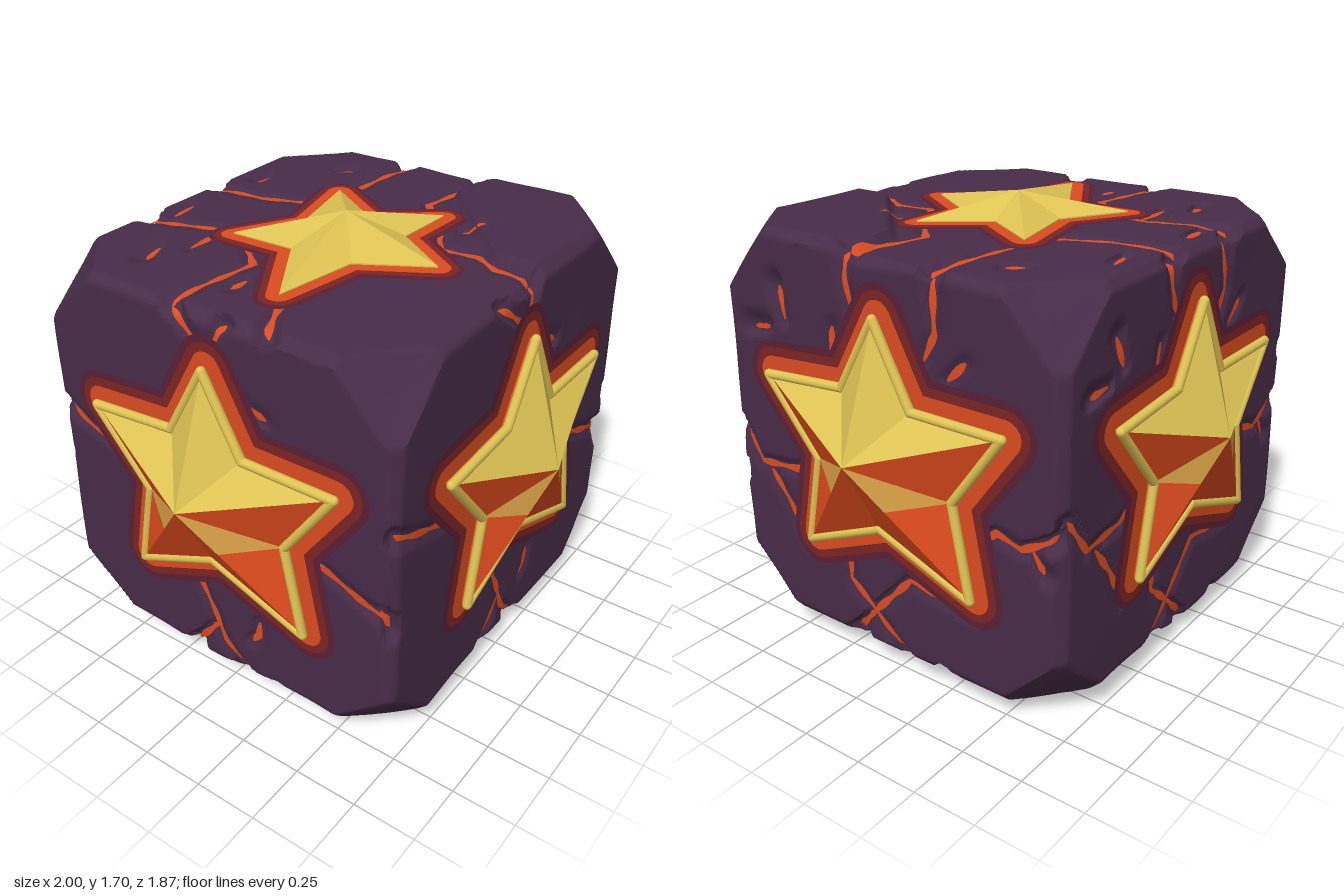
import * as THREE from 'three';
import { mergeGeometries, mergeVertices, toCreasedNormals } from 'three/addons/utils/BufferGeometryUtils.js';

const V3 = (x, y, z) => new THREE.Vector3(x, y, z);
const mat = (name, color, side = THREE.FrontSide) => {
  const m = new THREE.MeshStandardMaterial({ color, side });
  m.name = name;
  return m;
};
const HALF = V3(0.8, 0.765, 0.765), MID = 0.842;

// Outlines, clockwise from the upper tip, relative to the face centre
const SIDE_STAR = [[0.01, 1.41], [0.165, 1.115], [0.545, 1.115], [0.335, 0.83], [0.405, 0.475],
  [0, 0.625], [-0.355, 0.475], [-0.285, 0.825], [-0.52, 1.1], [-0.15, 1.13]].map(([x, y]) => [x, y - MID]);
const TOP_STAR = [[-0.25, 0.33], [0, 0.19], [0.33, 0.27], [0.17, 0.02], [0.34, -0.21],
  [0.09, -0.2], [-0.07, -0.44], [-0.22, -0.18], [-0.56, -0.13], [-0.24, 0.07]];

// Crack paths; side faces use [across, height], the top uses [across, back]
const FRONT_CRACKS = [
  [[-0.17, 1.63], [-0.05, 1.5], [0, 1.42]], [[0.07, 1.63], [0.03, 1.5]], [[0.04, 1.42], [0.11, 1.34], [0.25, 1.29]],
  [[-0.35, 0.88], [-0.6, 0.95], [-0.8, 1.02]], [[0.35, 0.82], [0.5, 0.77], [0.62, 0.72], [0.8, 0.66]],
  [[0.72, 0.7], [0.77, 0.62]], [[-0.12, 0.47], [-0.05, 0.33], [0, 0.2], [0.1, 0.08]],
  [[-0.03, 0.27], [-0.18, 0.08]], [[0.18, 0.38], [0.17, 0.31], [0.14, 0.27]]];
const RIGHT_CRACKS = [
  [[-0.15, 1.63], [-0.15, 1.5], [-0.12, 1.4]], [[0.24, 1.63], [0.25, 1.4], [0.2, 1.3]], [[-0.5, 1.42], [-0.46, 1.3]],
  [[-0.65, 1.25], [-0.55, 1.26]], [[0.3, 1.25], [0.38, 1.33]], [[-0.25, 1.15], [-0.22, 1.32]],
  [[-0.765, 0.85], [-0.65, 0.7], [-0.45, 0.72], [-0.3, 0.8]], [[-0.6, 0.68], [-0.5, 0.55], [-0.42, 0.4]],
  [[0.38, 0.65], [0.5, 0.75], [0.6, 0.72], [0.765, 0.8]], [[0.65, 0.73], [0.7, 0.65]],
  [[-0.2, 0.45], [-0.2, 0.33], [-0.08, 0.23], [0.1, 0.42], [0.4, 0.38]], [[-0.08, 0.23], [-0.2, 0.08]],
  [[-0.08, 0.23], [0.05, 0.1]]];
const TOP_CRACKS = [
  [[-0.3, 0.765], [-0.28, 0.6], [-0.22, 0.42], [-0.25, 0.3]], [[-0.22, 0.41], [-0.42, 0.4]], [[-0.22, 0.67], [-0.1, 0.68]],
  [[0.1, 0.765], [0.12, 0.5], [0.2, 0.3], [0.45, 0.25], [0.8, 0.23]], [[-0.8, 0.17], [-0.4, 0.12], [-0.28, 0.25]],
  [[-0.8, -0.25], [-0.5, -0.12]], [[0.33, -0.19], [0.45, -0.08], [0.8, -0.14]],
  [[0.3, -0.22], [0.1, -0.35], [0.12, -0.5], [0.06, -0.6], [0.06, -0.765]], [[-0.58, 0.48], [-0.48, 0.5]],
  [[0.26, 0.64], [0.34, 0.65]], [[0.56, 0.44], [0.6, 0.39]], [[-0.6, 0.05], [-0.52, 0.05]], [[0.28, -0.34], [0.34, -0.4]]];

const lower = paths => paths.map(path => path.map(([a, b]) => [a, b - MID]));
const X = V3(1, 0, 0), Y = V3(0, 1, 0), Z = V3(0, 0, 1);
const neg = v => v.clone().negate();
const FACES = [
  { name: 'front', n: Z, u: X, v: Y, cracks: lower(FRONT_CRACKS), height: 0.172 },
  { name: 'leftSide', n: X, u: neg(Z), v: Y, cracks: lower(RIGHT_CRACKS), height: 0.2 },
  { name: 'back', n: neg(Z), u: neg(X), v: Y, cracks: lower(RIGHT_CRACKS), height: 0.172 },
  { name: 'rightSide', n: neg(X), u: Z, v: Y, cracks: lower(FRONT_CRACKS), height: 0.2 },
  { name: 'top', n: Y, u: X, v: neg(Z), cracks: TOP_CRACKS, height: 0.093, flat: true },
  { name: 'bottom', n: neg(Y), u: X, v: Z, cracks: TOP_CRACKS.map(p => p.map(([a, b]) => [a, -b])), height: 0.077, flat: true, flip: true }];

// Crack paths placed on the unit cube
const crackLines = FACES.flatMap(f => f.cracks.map(path => ({ f, pts: path.map(([a, b]) =>
  f.n.clone().addScaledVector(f.u, a).addScaledVector(f.v, b)
    .divide(V3(f.n.x ? 1 : HALF.x, f.n.y ? 1 : HALF.y, f.n.z ? 1 : HALF.z)).clampScalar(-1, 1)) })));
const segments = crackLines.flatMap(({ pts }) => pts.slice(1).map((p, i) => new THREE.Line3(pts[i], p)));

// Moves a point of the unit cube onto the chipped, grooved rock
const nearest = V3(), { smoothstep } = THREE.MathUtils;
function rock(p) {
  let d = 1;
  for (const s of segments) {
    s.closestPointToPoint(p, true, nearest);
    d = Math.min(d, nearest.distanceTo(p));
  }
  const wave = 0.5 + 0.5 * Math.sin(4.1 * p.x + 1.3 + 2 * p.y) * Math.sin(3.7 * p.y + 0.4 - 2.3 * p.z) * Math.cos(3.3 * p.z + p.x);
  const q = [Math.abs(p.x), Math.abs(p.y), Math.abs(p.z)];
  for (const [a, b] of [[0, 1], [1, 2], [0, 2]]) {            // worn edges
    const over = q[a] + q[b] - (1.975 - 0.04 * wave);
    if (over > 0) { q[a] -= over / 2; q[b] -= over / 2; }
  }
  const cut = q[0] + q[1] + q[2] - (2.68 - 0.08 * wave);      // broken corners
  if (cut > 0) for (let i = 0; i < 3; i++) q[i] -= cut / 3;
  const edge = smoothstep(p.length(), 1.3, 1.45);
  const groove = (0.02 + 0.02 * edge) * (1 - smoothstep(d, 0.02, 0.05 + 0.03 * edge));
  const out = V3(Math.sign(p.x) * q[0], Math.sign(p.y) * q[1], Math.sign(p.z) * q[2])
    .multiplyScalar(1 - groove - 0.006 * wave).multiply(HALF);
  const raised = smoothstep(Math.min(p.x - 0.1, p.z - 0.15), 0, 0.04) * smoothstep(p.x + p.z, 0.84, 0.9);
  out.y += 0.033 * raised * smoothstep(p.y, 0.2, 1);          // heaved corner slab
  return out;
}

function rockGeometry() {
  let g = new THREE.BoxGeometry(2, 2, 2, 96, 96, 96);
  g.deleteAttribute('uv');
  g.deleteAttribute('normal');
  g = mergeVertices(g, 1e-4);
  const pos = g.attributes.position, p = V3();
  for (let i = 0; i < pos.count; i++) {
    const r = rock(p.fromBufferAttribute(pos, i));
    pos.setXYZ(i, r.x, r.y, r.z);
  }
  return toCreasedNormals(g, 0.8);
}

// Tapered, uneven glowing strip along one crack
function crackGeometry({ f, pts }, seed) {
  const verts = [], index = [], rows = [];
  pts.slice(1).forEach((b, i) => {
    const steps = Math.max(2, Math.ceil(b.distanceTo(pts[i]) / 0.035));
    for (let k = i ? 1 : 0; k <= steps; k++) rows.push(pts[i].clone().lerp(b, k / steps));
  });
  rows.forEach((p, i) => {
    const dir = rows[Math.min(i + 1, rows.length - 1)].clone().sub(rows[Math.max(i - 1, 0)]).normalize();
    const side = f.n.clone().cross(dir);
    const w = i === 0 || i === rows.length - 1 ? 0.006 : 0.016 + 0.005 * Math.sin(i * 1.1 + seed * 2.3);
    for (const s of [1, -1]) {
      const q = rock(p.clone().addScaledVector(side, s * w).clampScalar(-1, 1)).multiplyScalar(1.01);
      verts.push(q.x, q.y, q.z);
    }
    if (i) index.push(2 * i - 2, 2 * i - 1, 2 * i, 2 * i, 2 * i - 1, 2 * i + 1);
  });
  const g = new THREE.BufferGeometry();
  g.setAttribute('position', new THREE.Float32BufferAttribute(verts, 3));
  g.setIndex(index);
  g.computeVertexNormals();
  return g;
}

const shapeOf = pts => new THREE.Shape(pts.map(([x, y]) => new THREE.Vector2(x, y)));
// Widens a clockwise outline by d, rounding its tips
const grow = (pts, d) => pts.flatMap(([x, y], i) => {
  const [px, py] = pts[(i + 9) % 10], [nx, ny] = pts[(i + 1) % 10];
  const a = Math.atan2(y - py, x - px) + Math.PI / 2;
  let turn = Math.atan2(ny - y, nx - x) + Math.PI / 2 - a;
  turn = Math.atan2(Math.sin(turn), Math.cos(turn));
  const at = (angle, r) => [x + r * Math.cos(angle), y + r * Math.sin(angle)];
  if (turn > 0) return [at(a + turn / 2, d / Math.cos(turn / 2))];
  return [0, 1, 2, 3, 4, 5, 6].map(k => at(a + turn * k / 6, d));
});

function facets(triangles) {
  const g = new THREE.BufferGeometry();
  g.setAttribute('position', new THREE.Float32BufferAttribute(triangles.flat(2), 3));
  g.computeVertexNormals();
  return g;
}

// Rounded rim: a rod along each edge and a ball in each corner
function rimGeometry(pts, z, r) {
  return mergeGeometries(pts.flatMap((p, i) => {
    const a = V3(...p, z), b = V3(...pts[(i + 1) % pts.length], z), dir = b.clone().sub(a);
    const rod = new THREE.CylinderGeometry(r, r, dir.length(), 10, 1, true);
    rod.applyQuaternion(new THREE.Quaternion().setFromUnitVectors(Y, dir.clone().normalize()));
    rod.translate(...a.clone().add(b).multiplyScalar(0.5).toArray());
    return [rod, new THREE.SphereGeometry(r, 10, 8).translate(...a.toArray())];
  }));
}

export function createModel() {
  const stone = mat('purple stone', 0x482c48), lava = mat('orange glow', 0xdc4c20, THREE.DoubleSide);
  const gold = mat('gold', 0xdfc455), red = mat('red orange', 0xe24c1f), amber = mat('amber', 0xd8a048);
  const ember = mat('dark ember', 0x7c2424, THREE.DoubleSide), dusk = mat('dim ember', 0x5a2036, THREE.DoubleSide);
  const model = new THREE.Group();
  const add = (parent, name, geometry, material) => {
    const m = new THREE.Mesh(geometry, material);
    m.name = name;
    parent.add(m);
  };

  const block = new THREE.Group();
  block.name = 'rockBlock';
  block.position.y = MID;
  add(block, 'stone', rockGeometry(), stone);
  add(block, 'glowingCracks', mergeGeometries(crackLines.map(crackGeometry)), lava);
  model.add(block);

  for (const f of FACES) {
    const star = new THREE.Group();
    star.name = f.name + 'Star';
    star.quaternion.setFromRotationMatrix(new THREE.Matrix4().makeBasis(f.u, f.v, f.n));
    star.position.copy(f.n).multiply(HALF).add(V3(0, MID, 0));
    let pts = f.flat ? TOP_STAR : SIDE_STAR;
    if (f.flip) pts = pts.map(([x, y]) => [x, -y]).reverse();
    const c = f.flat ? [0, 0] : [0, 0.93 - MID];

    // Layered glow painted around the star
    const w = f.flat ? 0.75 : 1;
    [[0.122, dusk, 'outerGlow'], [0.095, ember, 'middleGlow'], [0.062, lava, 'innerGlow']].forEach(([d, m, name], i) =>
      add(star, name, new THREE.ShapeGeometry(shapeOf(grow(pts, d * w))).translate(0, 0, 0.001 + i * 0.0025), m));

    // Faceted star: one triangle to each half arm
    const z = f.flat ? 0.012 : 0.03, apex = [...c, f.height];
    const golden = [], fiery = [], patches = [];
    pts.forEach((p, i) => {
      const a = [...p, z], b = [...pts[(i + 1) % 10], z];
      if (f.flat || i < 2 || i > 7) golden.push([apex, b, a]);
      else if (i === 3 || i === 6) {
        const [tip, notch] = i === 3 ? [b, a] : [a, b];
        const ridge = apex.map((v, k) => v + (tip[k] - v) * 0.33);
        patches.push(i === 3 ? [apex, ridge, notch] : [apex, notch, ridge]);
        fiery.push(i === 3 ? [ridge, tip, notch] : [ridge, notch, tip]);
      } else fiery.push([apex, b, a]);
    });
    add(star, 'goldFacets', facets(golden), gold);
    const base = new THREE.ExtrudeGeometry(shapeOf(pts), { depth: z + 0.018, bevelEnabled: false });
    add(star, 'starBase', base.translate(0, 0, -0.02), f.flat ? gold : lava);
    if (!f.flat) {
      add(star, 'redFacets', facets(fiery), red);
      add(star, 'amberPatches', facets(patches), amber);
      add(star, 'starRim', rimGeometry(pts, z, 0.018), gold);
    }
    model.add(star);
  }
  return model;
}
